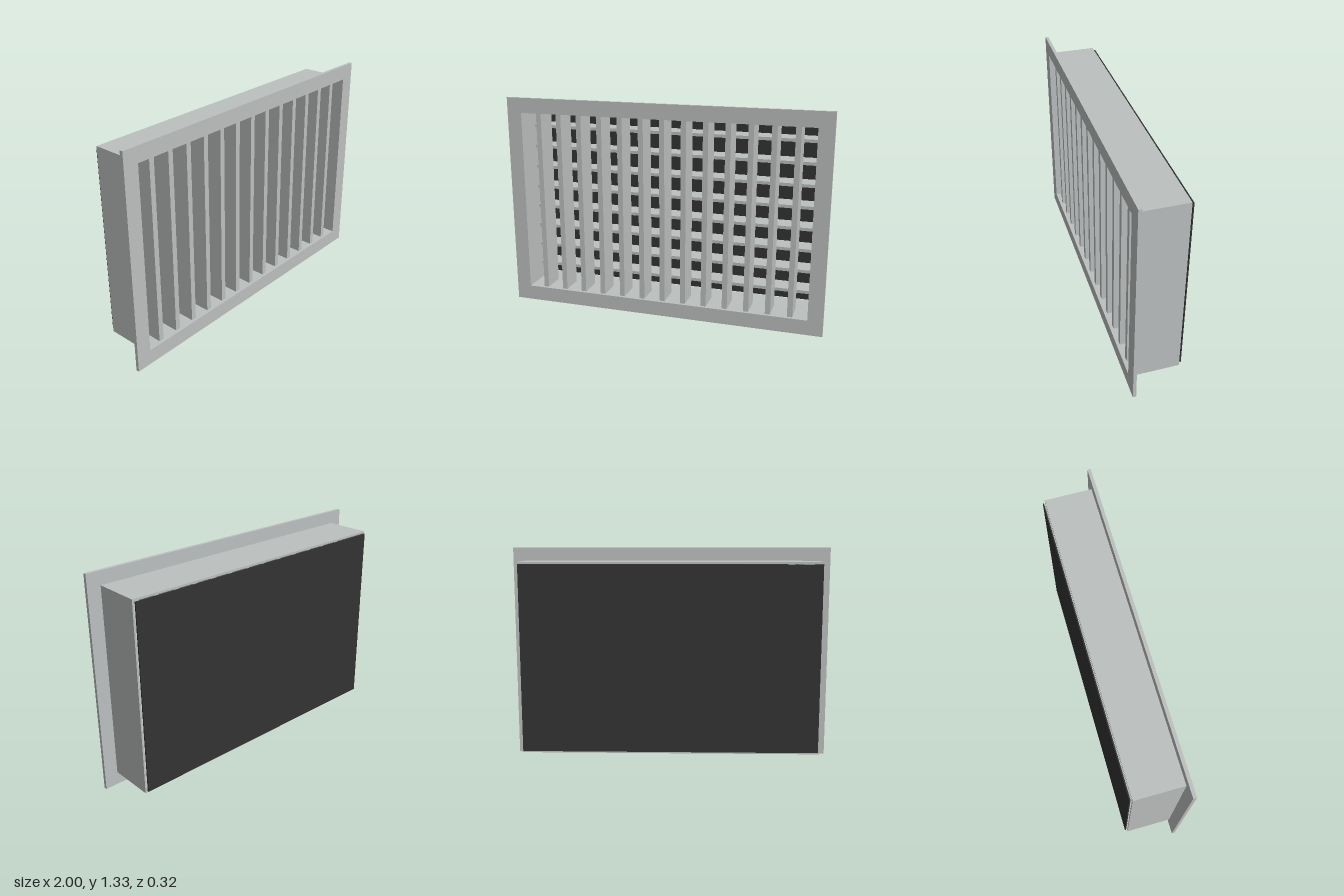
import * as THREE from 'three';

const CY = 0.667; // mid height

function ring(halfW, halfH, holeW, holeH, depth) {
  const rect = (T, w, h) => {
    const p = new T();
    p.moveTo(-w, -h);
    p.lineTo(w, -h);
    p.lineTo(w, h);
    p.lineTo(-w, h);
    p.closePath();
    return p;
  };
  const shape = rect(THREE.Shape, halfW, halfH);
  shape.holes.push(rect(THREE.Path, holeW, holeH));
  return new THREE.ExtrudeGeometry(shape, { depth, bevelEnabled: false });
}

export function createModel() {
  const model = new THREE.Group();
  model.name = 'ventGrille';

  const metal = new THREE.MeshStandardMaterial({ color: 0xbcc0bf });
  metal.name = 'light grey metal';
  const dark = new THREE.MeshStandardMaterial({ color: 0x333333 });
  dark.name = 'dark backing';

  const add = (name, geometry, material, x, y, z) => {
    const mesh = new THREE.Mesh(geometry, material);
    mesh.name = name;
    mesh.position.set(x, y, z);
    model.add(mesh);
  };

  const openW = 0.907, openH = 0.574;

  // Front flange and the duct collar behind it
  add('frontFrame', ring(1, CY, openW, openH, 0.02), metal, 0, CY, 0.14);
  add('collar', ring(0.917, 0.586, openW, openH, 0.285), metal, 0, CY, -0.145);

  // Vertical blades, just behind the flange
  const blade = new THREE.BoxGeometry(0.032, openH * 2, 0.145);
  for (let i = -6; i <= 6; i++) {
    add('verticalBlade', blade, metal, i * 0.1333, CY, 0.0675);
  }

  // Horizontal blades behind the vertical ones
  const bar = new THREE.BoxGeometry(openW * 2, 0.019, 0.13);
  for (let i = 0; i < 8; i++) {
    add('horizontalBlade', bar, metal, 0, CY + (i - 3.5) * 0.1333, -0.075);
  }

  // Dark plate closing the back, with a narrow gap to the collar
  add('backPlate', new THREE.BoxGeometry(openW * 2, openH * 2, 0.007), dark, 0, CY, -0.1565);

  return model;
}
